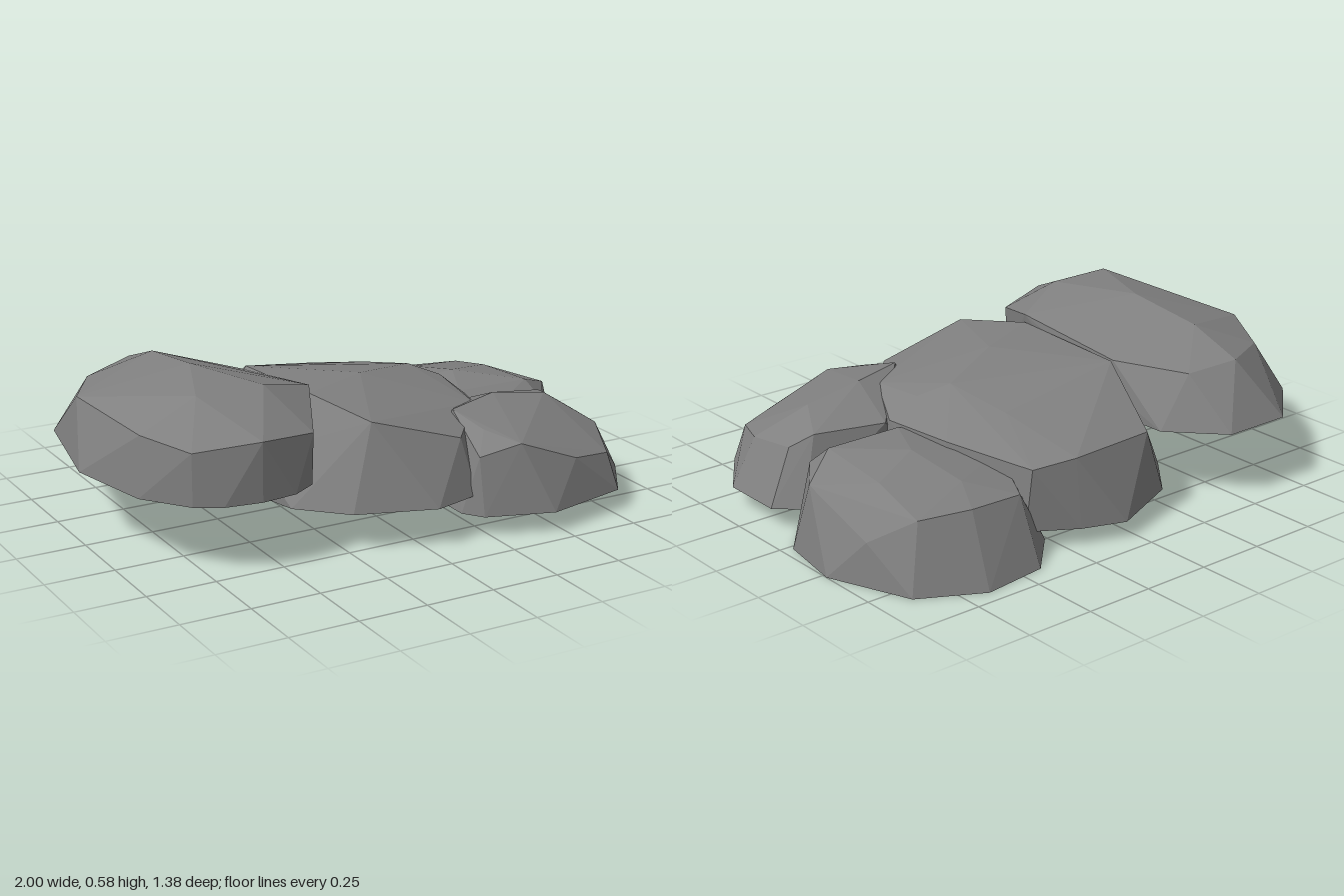
import * as THREE from 'three';
import { ConvexGeometry } from 'three/addons/geometries/ConvexGeometry.js';

// Faceted boulder shell: hull of a few corner points, left open underneath.
function boulder(name, points, material) {
  const hull = new ConvexGeometry(points.map((p) => new THREE.Vector3(...p)));
  const pos = hull.getAttribute('position');
  const kept = [];
  const tri = new THREE.Triangle();
  const n = new THREE.Vector3();
  for (let i = 0; i < pos.count; i += 3) {
    tri.setFromAttributeAndIndices(pos, i, i + 1, i + 2);
    tri.getNormal(n);
    if (n.y > -0.85) for (const v of [tri.a, tri.b, tri.c]) kept.push(v.x, v.y, v.z);
  }
  const geometry = new THREE.BufferGeometry();
  geometry.setAttribute('position', new THREE.Float32BufferAttribute(kept, 3));
  geometry.computeVertexNormals();
  const mesh = new THREE.Mesh(geometry, material);
  mesh.name = name;
  return mesh;
}

// Rim of [x, z] corners on a plane that may rise towards the front
const rim = (y, corners, slope = 0) => corners.map(([x, z]) => [x, y + slope * z, z]);

export function createModel() {
  const stone = new THREE.MeshStandardMaterial({ color: 0x808080, side: THREE.DoubleSide });
  stone.name = 'grey stone';
  stone.flatShading = true;
  const group = new THREE.Group();
  group.name = 'rockPile';

  // High long boulder
  group.add(boulder('highBoulder', [
    ...rim(0.255, [[-0.7, -0.68], [-0.44, -0.68], [-0.27, -0.5], [-0.26, -0.15], [-0.28, 0.2],
      [-0.37, 0.46], [-0.46, 0.515], [-0.59, 0.53], [-0.72, 0.51], [-0.81, 0.46], [-0.93, 0.3],
      [-1, -0.03], [-0.91, -0.48]]),
    [-0.93, 0.465, -0.2], [-0.79, 0.45, -0.44], [-0.58, 0.465, -0.55], [-0.4, 0.44, -0.5],
    [-0.27, 0.45, -0.25], [-0.24, 0.51, 0.2], [-0.37, 0.44, 0.47], [-0.59, 0.465, 0.535],
    [-0.81, 0.44, 0.46], [-0.91, 0.465, 0.28],
    [-0.58, 0.54, -0.34], [-0.58, 0.577, -0.03], [-0.46, 0.57, 0.29], [-0.71, 0.57, 0.29],
  ], stone));

  // Broad central boulder, tipped towards the back
  group.add(boulder('centralBoulder', [
    ...rim(0.104, [[0.03, 0.62], [-0.24, 0.51], [-0.38, 0.33], [-0.41, 0.1], [-0.41, -0.2],
      [-0.36, -0.4], [-0.23, -0.56], [0.04, -0.67], [0.2, -0.62], [0.37, -0.53], [0.48, -0.2],
      [0.5, 0.1], [0.42, 0.35], [0.22, 0.56]], 0.066),
    [-0.41, 0.26, 0.12], [-0.41, 0.26, -0.18],
    [-0.15, 0.44, 0.47], [0.18, 0.34, 0.51], [0.38, 0.37, 0.28], [0.49, 0.32, 0.06],
    [0.46, 0.32, -0.22], [0.35, 0.29, -0.54], [0.2, 0.31, -0.59], [-0.14, 0.31, -0.57],
    [-0.24, 0.48, 0.2], [-0.25, 0.455, -0.26], [0.03, 0.48, 0.08], [0.3, 0.44, -0.04],
    [0.4, 0.4, 0.02], [0.25, 0.39, -0.28],
  ], stone));

  // Low boulder at the back
  group.add(boulder('backBoulder', [
    ...rim(0, [[0.42, -0.665], [0.66, -0.695], [0.88, -0.575], [1, -0.27], [0.96, -0.02],
      [0.84, 0.11], [0.55, 0.18], [0.3, 0.05], [0.2, -0.25], [0.26, -0.5]]),
    [0.94, 0.255, -0.1], [0.93, 0.15, -0.4], [0.82, 0.24, -0.53], [0.63, 0.24, -0.57],
    [0.42, 0.23, -0.56], [0.3, 0.27, -0.3], [0.36, 0.28, 0], [0.57, 0.25, 0.1],
    [0.82, 0.25, 0.07], [0.79, 0.315, 0], [0.8, 0.29, -0.3], [0.57, 0.28, -0.44],
    [0.6, 0.325, -0.21], [0.5, 0.315, 0],
  ], stone));

  // Low boulder at the front
  group.add(boulder('frontBoulder', [
    ...rim(0.075, [[0.22, 0.61], [0.46, 0.69], [0.78, 0.615], [0.925, 0.4], [0.925, 0.16],
      [0.84, 0.08], [0.5, 0.08], [0.25, 0.15], [0.17, 0.35], [0.17, 0.54]]),
    [0.22, 0.28, 0.57], [0.36, 0.32, 0.615], [0.58, 0.235, 0.63], [0.75, 0.21, 0.58],
    [0.84, 0.25, 0.38], [0.83, 0.27, 0.18], [0.76, 0.315, 0.13], [0.5, 0.31, 0.07],
    [0.24, 0.39, 0.36], [0.28, 0.35, 0.5], [0.46, 0.395, 0.28], [0.68, 0.36, 0.28],
  ], stone));

  return group;
}
